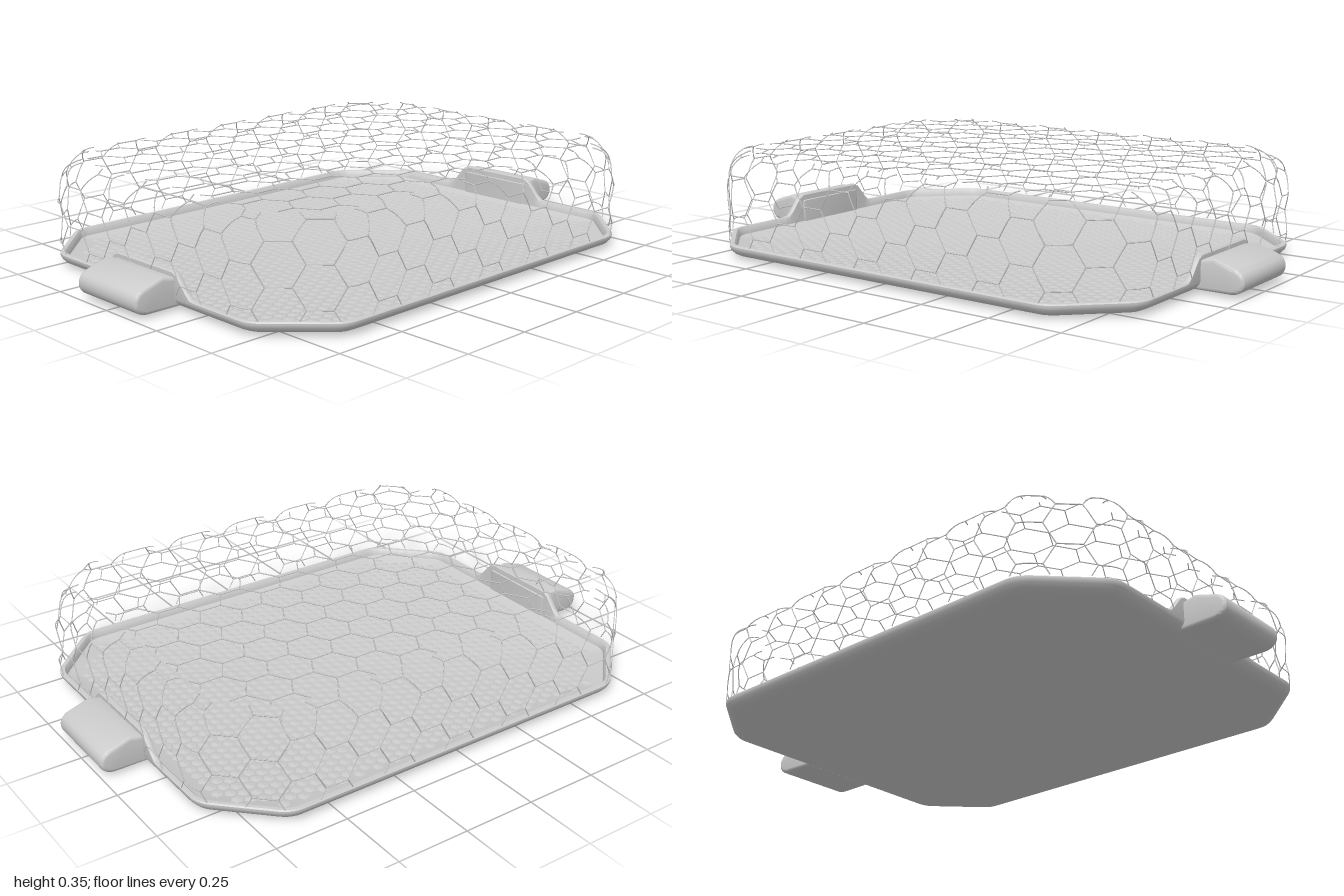
import * as THREE from 'three';
import { mergeGeometries, toCreasedNormals } from 'three/addons/utils/BufferGeometryUtils.js';

const HX = 0.685, HZ = 0.855, CUT = 0.205, R = 0.1;
const grey = new THREE.MeshStandardMaterial({ color: 0xcccccc, side: THREE.DoubleSide });

// Rounded octagon: evenly subdivided points, each with its outward normal
function makeOutline() {
  const corners = [
    [HX, HZ - CUT], [HX - CUT, HZ], [CUT - HX, HZ], [-HX, HZ - CUT],
    [-HX, CUT - HZ], [CUT - HX, -HZ], [HX - CUT, -HZ], [HX, CUT - HZ],
  ];
  const pts = [];
  corners.forEach(([x, z], k) => {
    const a0 = k * Math.PI / 4, mid = a0 + Math.PI / 8;
    const d = R / Math.cos(Math.PI / 8);
    const cx = x - d * Math.cos(mid), cz = z - d * Math.sin(mid);
    for (let i = 0; i <= 5; i++) {
      const a = a0 + i / 5 * Math.PI / 4, nx = Math.cos(a), nz = Math.sin(a);
      pts.push({ x: cx + R * nx, z: cz + R * nz, nx, nz });
    }
  });
  const out = [];
  let s = 0;
  pts.forEach((p, i) => {
    const q = pts[(i + 1) % pts.length];
    const len = Math.hypot(q.x - p.x, q.z - p.z), n = Math.max(1, Math.round(len / 0.02));
    for (let j = 0; j < n; j++) {
      const t = j / n;
      out.push({ x: p.x + (q.x - p.x) * t, z: p.z + (q.z - p.z) * t, nx: p.nx, nz: p.nz, s: s + len * t });
    }
    s += len;
  });
  return { pts: out, length: s };
}
const outline = makeOutline();

// Point on the outline at distance s, moved inwards by inset
function outlineAt(s, inset, y) {
  const { pts, length } = outline;
  s = ((s % length) + length) % length;
  let i = pts.length - 1;
  while (pts[i].s > s) i--;
  const p = pts[i], q = pts[(i + 1) % pts.length];
  const end = i + 1 < pts.length ? q.s : length, t = (s - p.s) / (end - p.s);
  const mix = (a, b) => a + (b - a) * t;
  return new THREE.Vector3(mix(p.x - p.nx * inset, q.x - q.nx * inset), y,
    mix(p.z - p.nz * inset, q.z - q.nz * inset));
}

const insideOutline = (x, z, inset) => {
  x = Math.abs(x); z = Math.abs(z);
  return x < HX - inset && z < HZ - inset && x + z < HX + HZ - CUT - inset * Math.SQRT2;
};

// Tray: a profile swept round the outline, with the rim raised at both handles
function trayGeometry() {
  const rimHeight = (p) => {
    if (Math.abs(p.z) < HZ - 0.02) return 0.048;
    return 0.048 + 0.075 * (1 - THREE.MathUtils.smoothstep(Math.abs(p.x), 0.14, 0.23));
  };
  const pos = [], index = [], n = outline.pts.length;
  const rings = 11;
  for (const p of outline.pts) {
    const h = rimHeight(p);
    const profile = [[0.05, 0.005], [0.032, 0.008], [0.015, 0.016], [0.004, 0.028], [0, 0.038],
      [0, h - 0.004], [0.004, h], [0.016, h], [0.02, h - 0.004], [0.024, 0.022], [0.032, 0.018]];
    for (const [inset, y] of profile) pos.push(p.x - p.nx * inset, y, p.z - p.nz * inset);
  }
  const bottom = n * rings, floor = bottom + 1;
  pos.push(0, 0.005, 0, 0, 0.018, 0);
  for (let i = 0; i < n; i++) {
    const a = i * rings, b = ((i + 1) % n) * rings;
    for (let j = 0; j < rings - 1; j++) index.push(a + j, a + j + 1, b + j, b + j, a + j + 1, b + j + 1);
    index.push(bottom, a, b, floor, b + rings - 1, a + rings - 1);
  }
  const g = new THREE.BufferGeometry();
  g.setAttribute('position', new THREE.Float32BufferAttribute(pos, 3));
  g.setIndex(index);
  return toCreasedNormals(g, 0.7);
}

// Fine staggered texture of low six-sided points
function textureGeometry(y, height) {
  const parts = [], pitch = 0.04;
  for (let j = -24; j <= 24; j++) for (let i = -20; i <= 20; i++) {
    const x = (i + (j % 2 ? 0.5 : 0)) * pitch, z = j * pitch * 0.866;
    if (!insideOutline(x, z, 0.07)) continue;
    const cone = new THREE.ConeGeometry(0.019, Math.abs(height), 6, 1, true);
    if (height < 0) cone.rotateX(Math.PI);
    parts.push(cone.translate(x, y + height / 2, z));
  }
  return mergeGeometries(parts);
}

// Handle: side profile extruded across x
function handleGeometry() {
  const s = new THREE.Shape();
  s.moveTo(0.84, 0.022);
  s.lineTo(0.95, 0.022);
  s.quadraticCurveTo(0.988, 0.024, 0.988, 0.052);
  s.quadraticCurveTo(0.988, 0.075, 0.955, 0.084);
  s.lineTo(0.895, 0.103);
  s.lineTo(0.84, 0.09);
  const g = new THREE.ExtrudeGeometry(s, {
    depth: 0.276, bevelEnabled: true, bevelSize: 0.012, bevelThickness: 0.012, bevelSegments: 3, curveSegments: 8,
  });
  g.translate(0, 0, -0.138).rotateY(-Math.PI / 2);
  return toCreasedNormals(g, 0.6);
}

// Thin wires along a honeycomb in (u, v), placed in space by map (null = cut away)
function honeycomb(a, cols, rows, v0, map) {
  const parts = [], up = new THREE.Vector3(0, 1, 0), h = a * Math.sqrt(3), steps = 4;
  const wire = (u1, v1, u2, v2) => {
    for (let k = 0; k < steps; k++) {
      const at = (t) => map(u1 + (u2 - u1) * t, v1 + (v2 - v1) * t);
      const p = at(k / steps), q = at((k + 1) / steps);
      if (!p || !q) continue;
      const d = q.clone().sub(p), len = d.length();
      const g = new THREE.CylinderGeometry(0.002, 0.002, len, 4, 1, true);
      g.applyQuaternion(new THREE.Quaternion().setFromUnitVectors(up, d.normalize()));
      parts.push(g.translate(...p.add(q).multiplyScalar(0.5).toArray()));
    }
  };
  for (let i = cols[0]; i < cols[1]; i++) for (let j = rows[0]; j < rows[1]; j++) {
    const u = i * 1.5 * a, v = v0 + (j + (i % 2 ? 0.5 : 0)) * h;
    wire(u - a / 2, v + h / 2, u + a / 2, v + h / 2);
    wire(u + a / 2, v + h / 2, u + a, v);
    wire(u + a, v, u + a / 2, v - h / 2);
  }
  return mergeGeometries(parts);
}

export function createModel() {
  const model = new THREE.Group();
  const add = (name, geometry) => {
    const m = new THREE.Mesh(geometry, grey);
    m.name = name;
    model.add(m);
    return m;
  };

  add('tray', trayGeometry());
  add('undersideTexture', textureGeometry(0.005, -0.005));
  add('floorTexture', textureGeometry(0.018, 0.003));
  add('frontHandle', handleGeometry());
  add('backHandle', handleGeometry()).rotation.y = Math.PI;

  // Wire cover: walls with a rounded shoulder, then the flat top
  const base = 0.045, top = 0.35, r = 0.09, straight = top - r - base;
  const a = outline.length / 48 / 1.5, wallLength = straight + r * Math.PI / 2;
  add('coverWalls', honeycomb(a, [0, 48], [-2, 5], 0.175, (s, v) => {
    if (v < 0 || v > wallLength) return null;
    const t = Math.max(0, v - straight) / r;
    return outlineAt(s, r * (1 - Math.cos(t)), base + Math.min(v, straight) + r * Math.sin(t));
  }));
  add('coverTop', honeycomb(a, [-9, 10], [-7, 8], 0, (z, x) =>
    insideOutline(x, z, r) ? new THREE.Vector3(x, top - 0.002, z) : null));

  return model;
}
